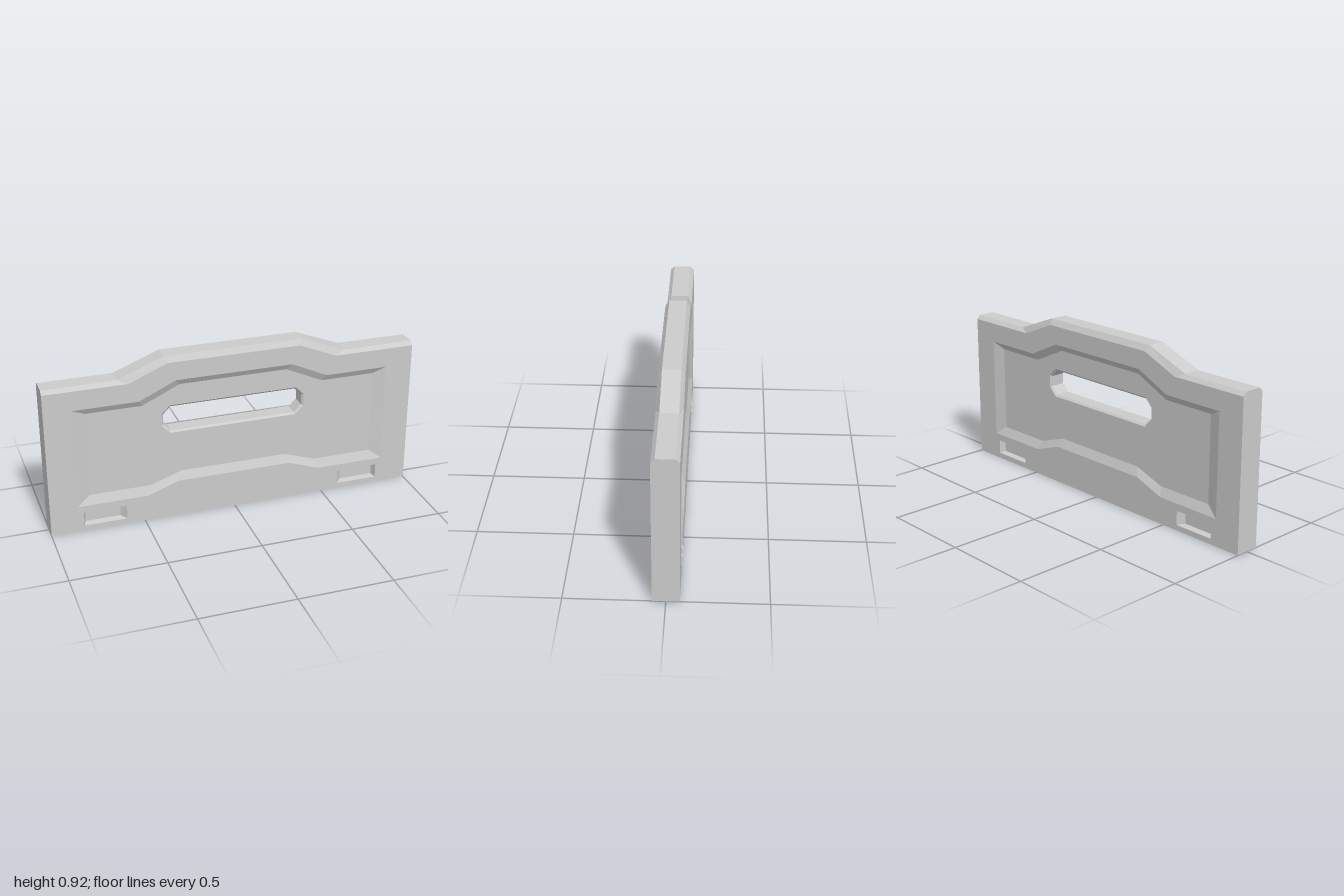
import * as THREE from 'three';

const FACE = 0.067, FLOOR = 0.047, HOLE = 0.037, POCKET = 0.035;

// Closed counter-clockwise ring from its +x half (listed bottom to top)
const mirror = half => [...half, ...half.map(([x, y]) => [-x, y]).reverse()];

// Octagon-ended slot, right half
const slotHalf = (x, y0, y1, c) => [[x - c, y0], [x, y0 + c], [x, y1 - c], [x - c, y1]];

const rect = (x0, x1, y0, y1) => [[x0, y0], [x1, y0], [x1, y1], [x0, y1]];

export function createModel() {
  const material = new THREE.MeshStandardMaterial({ color: 0xcccccc, flatShading: true });
  const model = new THREE.Group();
  model.name = 'panel';

  function add(parent, name, geometry) {
    const mesh = new THREE.Mesh(geometry, material);
    mesh.name = name;
    parent.add(mesh);
  }

  // Flat sheet at depth z, with holes
  function sheet(ring, z, holes = []) {
    const toPoints = r => r.map(([x, y]) => new THREE.Vector2(x, y));
    const shape = new THREE.Shape(toPoints(ring));
    shape.holes = holes.map(h => new THREE.Path(toPoints(h)));
    return new THREE.ShapeGeometry(shape).translate(0, 0, z);
  }

  // Wall joining ring a (front) to ring b (behind); inward turns it into a pocket wall
  function wall(a, za, b, zb, inward = false) {
    const pos = [];
    a.forEach((p, i) => {
      const j = (i + 1) % a.length;
      const a0 = [...p, za], a1 = [...a[j], za], b0 = [...b[i], zb], b1 = [...b[j], zb];
      const quad = inward ? [a0, a1, b1, a0, b1, b0] : [a0, b0, b1, a0, b1, a1];
      pos.push(...quad.flat());
    });
    const g = new THREE.BufferGeometry();
    g.setAttribute('position', new THREE.Float32BufferAttribute(pos, 3));
    g.computeVertexNormals();
    return g;
  }

  // Outlines
  const faceRing = mirror([[1, 0], [1, 0.8], [0.56, 0.8], [0.355, 0.885]]);
  const edgeRing = mirror([[1, 0], [1, 0.82], [0.615, 0.82], [0.37, 0.915]]);
  const recessOuter = mirror([[0.31, 0.205], [0.48, 0.145], [0.855, 0.145],
    [0.855, 0.695], [0.51, 0.695], [0.315, 0.785]]);
  const recessInner = mirror([[0.29, 0.253], [0.46, 0.195], [0.785, 0.195],
    [0.785, 0.66], [0.49, 0.66], [0.29, 0.752]]);
  const handleOuter = mirror(slotHalf(0.39, 0.483, 0.64, 0.045));
  const handleInner = mirror(slotHalf(0.38, 0.493, 0.63, 0.04));

  // Small pockets near the lower corners, sloped at their inner end
  const pockets = [1, -1].map(s => {
    const outer = s > 0 ? rect(0.595, 0.825, 0.03, 0.107) : rect(-0.825, -0.595, 0.03, 0.107);
    const inner = s > 0 ? rect(0.625, 0.812, 0.037, 0.097) : rect(-0.812, -0.625, 0.037, 0.097);
    return { outer, inner };
  });

  // Front half, repeated turned round for the back
  for (const side of ['front', 'back']) {
    const half = new THREE.Group();
    half.name = side + 'Half';
    if (side === 'back') half.rotation.y = Math.PI;
    model.add(half);

    add(half, 'outerFace', sheet(faceRing, FACE, [recessOuter, ...pockets.map(p => p.outer)]));
    add(half, 'topChamfer', wall(faceRing, FACE, edgeRing, FLOOR));
    add(half, 'rim', wall(edgeRing, FLOOR, edgeRing, 0));
    add(half, 'recessBevel', wall(recessOuter, FACE, recessInner, FLOOR, true));
    add(half, 'recessFloor', sheet(recessInner, FLOOR, [handleOuter]));
    add(half, 'handleBevel', wall(handleOuter, FLOOR, handleInner, HOLE, true));
    add(half, 'handleWall', wall(handleInner, HOLE, handleInner, 0, true));
    for (const { outer, inner } of pockets) {
      add(half, 'pocketWall', wall(outer, FACE, inner, POCKET, true));
      add(half, 'pocketFloor', sheet(inner, POCKET));
    }
  }
  return model;
}
